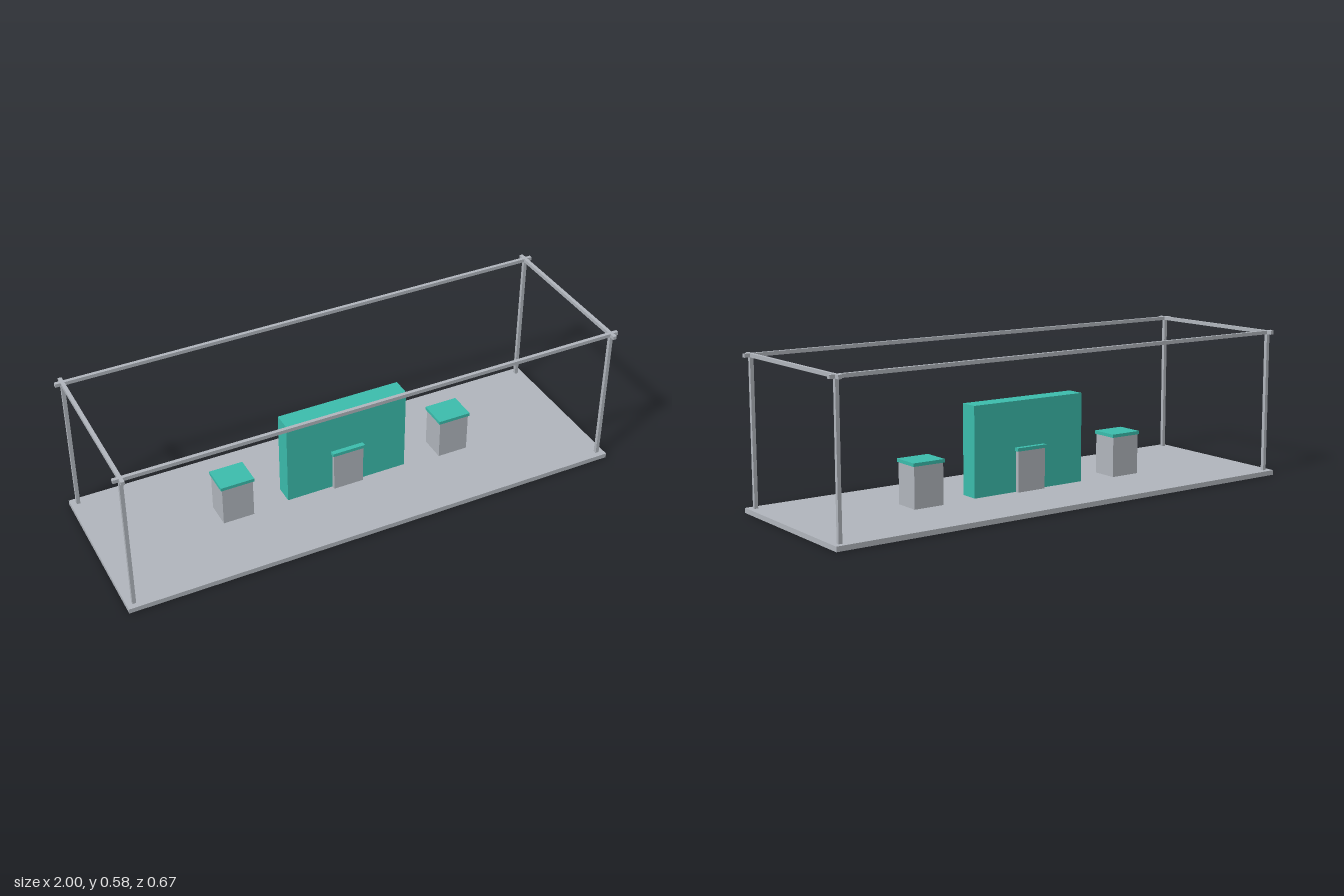
import * as THREE from 'three';

const grey = new THREE.MeshStandardMaterial({ name: 'light grey', color: 0xb2b7be });
const teal = new THREE.MeshStandardMaterial({ name: 'teal', color: 0x3cbeae });

// Box given by size, centre x/z and bottom/top heights
function box(name, material, width, depth, bottom, top, x = 0, z = 0) {
  const mesh = new THREE.Mesh(new THREE.BoxGeometry(width, top - bottom, depth), material);
  mesh.position.set(x, (bottom + top) / 2, z);
  mesh.name = name;
  return mesh;
}

export function createModel() {
  const model = new THREE.Group();
  model.name = 'exhibitionStand';

  const bar = 0.014, postX = 0.972, postZ = 0.305;
  const floorTop = 0.02, frameTop = 0.584;

  // Floor, with the back panel let through to its underside
  model.add(box('floor', grey, 2, 0.666, 0.001, floorTop));
  model.add(box('displayPanel', teal, 0.5, 0.074, 0, 0.368));

  // Three counters with overhanging tops
  for (const x of [-0.46, 0, 0.46]) {
    const counter = new THREE.Group();
    counter.name = 'counter';
    counter.position.x = x;
    counter.add(box('counterBody', grey, 0.124, 0.106, floorTop, 0.178));
    counter.add(box('counterTop', teal, 0.134, 0.113, 0.178, 0.191));
    model.add(counter);
  }

  // Open frame: corner posts and crossing top rails
  const frame = new THREE.Group();
  frame.name = 'frame';
  for (const side of [-1, 1]) {
    frame.add(box('longRail', grey, 2, bar, frameTop - bar, frameTop, 0, side * postZ));
    frame.add(box('crossRail', grey, bar, 0.666, frameTop - bar, frameTop, side * postX, 0));
    for (const end of [-1, 1]) {
      frame.add(box('post', grey, bar, bar, floorTop, frameTop - bar, side * postX, end * postZ));
    }
  }
  model.add(frame);
  return model;
}
